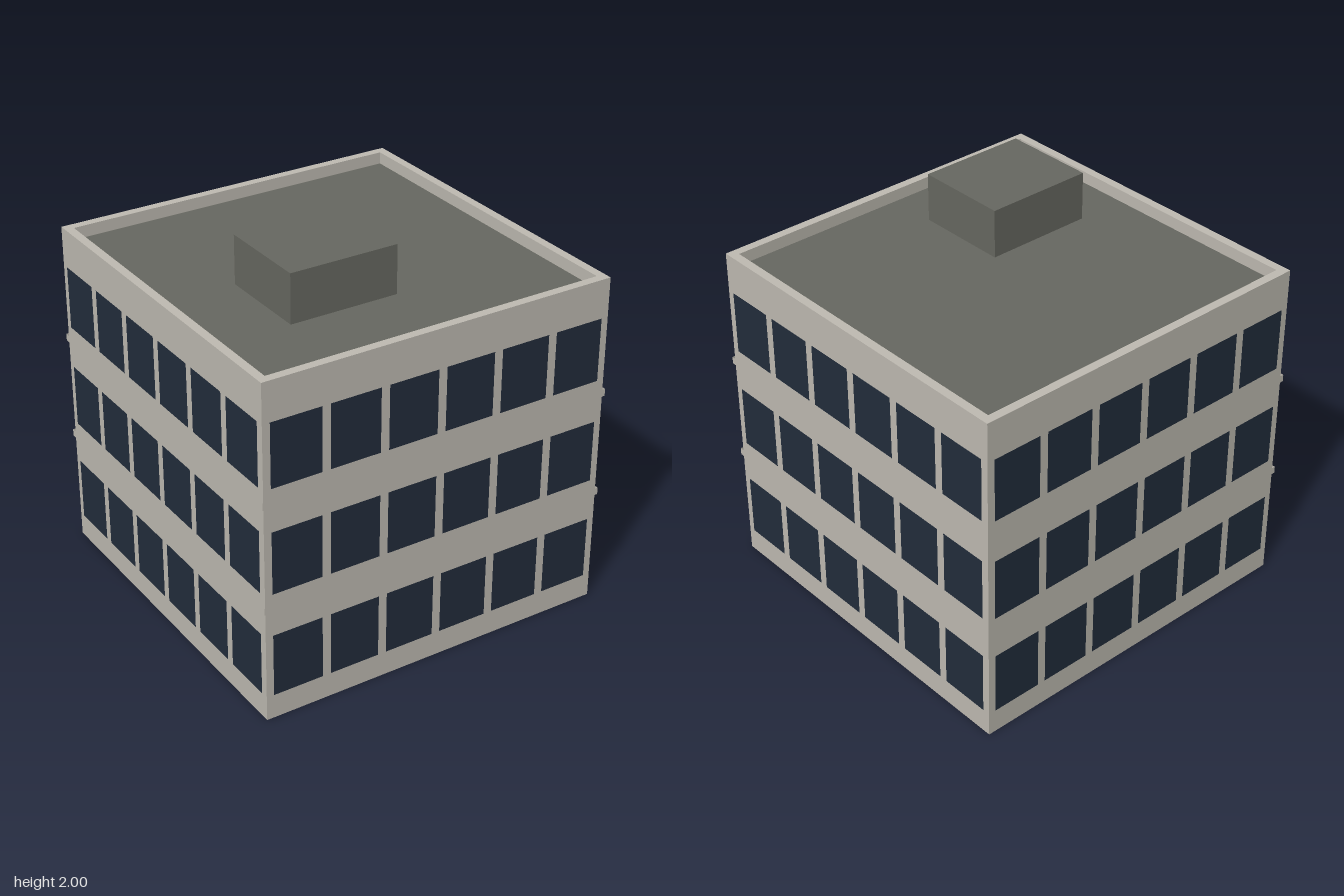
import * as THREE from 'three';

const HALF = 0.934;       // half width of the building
const INNER = 0.889;      // half width inside the parapet
const TOP = 1.752;        // parapet top
const DECK = 1.69;        // roof deck height
const BAND_HALF = 0.943;  // half width of the floor bands

export function createModel() {
  const wall = new THREE.MeshStandardMaterial({ color: 0xbfbbb2, side: THREE.DoubleSide });
  wall.name = 'pale concrete';
  const glass = new THREE.MeshStandardMaterial({ color: 0x222d3c });
  glass.name = 'dark glass';
  const roof = new THREE.MeshStandardMaterial({ color: 0x676861, side: THREE.DoubleSide });
  roof.name = 'roof grey';

  const building = new THREE.Group();
  building.name = 'officeBlock';

  // Upright rectangle facing +z, from y0 to y1
  const panel = (parent, name, material, x, y0, y1, z, width) => {
    const mesh = new THREE.Mesh(new THREE.PlaneGeometry(width, y1 - y0), material);
    mesh.position.set(x, (y0 + y1) / 2, z);
    mesh.name = name;
    parent.add(mesh);
    return mesh;
  };

  // Four identical facades, open underneath
  const floors = [[0.128, 0.457], [0.678, 1.003], [1.224, 1.552]];
  const bands = [[0.588, 0.624], [1.134, 1.171]];
  ['front', 'left', 'back', 'right'].forEach((side, i) => {
    const facade = new THREE.Group();
    facade.name = side + 'Facade';
    facade.rotation.y = i * Math.PI / 2;
    panel(facade, 'wall', wall, 0, 0, TOP, HALF, HALF * 2);
    for (const [y0, y1] of bands) panel(facade, 'floorBand', wall, 0, y0, y1, BAND_HALF, BAND_HALF * 2);
    for (const [y0, y1] of floors) {
      for (let k = 0; k < 6; k++) {
        panel(facade, 'window', glass, (k - 2.5) * 0.306, y0, y1, HALF + 0.002, 0.262);
      }
    }
    // Inner face of the parapet, turned towards the roof
    panel(facade, 'parapetInside', wall, 0, DECK, TOP, INNER, INNER * 2).rotation.y = Math.PI;
    building.add(facade);
  });

  // Flat rim on top of the parapet
  const square = (h, Type) => new Type([
    new THREE.Vector2(-h, -h), new THREE.Vector2(h, -h),
    new THREE.Vector2(h, h), new THREE.Vector2(-h, h),
  ]);
  const rimShape = square(HALF, THREE.Shape);
  rimShape.holes.push(square(INNER, THREE.Path));
  const rim = new THREE.Mesh(new THREE.ShapeGeometry(rimShape), wall);
  rim.name = 'parapetRim';
  rim.rotation.x = -Math.PI / 2;
  rim.position.y = TOP;
  building.add(rim);

  // Sunken roof deck
  const deck = new THREE.Mesh(new THREE.PlaneGeometry(INNER * 2, INNER * 2), roof);
  deck.name = 'roofDeck';
  deck.rotation.x = -Math.PI / 2;
  deck.position.y = DECK;
  building.add(deck);

  // Rooftop plant room
  const plant = new THREE.Mesh(new THREE.BoxGeometry(0.562, 2 - TOP, 0.482), roof);
  plant.name = 'plantRoom';
  plant.position.set(-0.269, (2 + TOP) / 2, 0.307);
  building.add(plant);

  return building;
}
